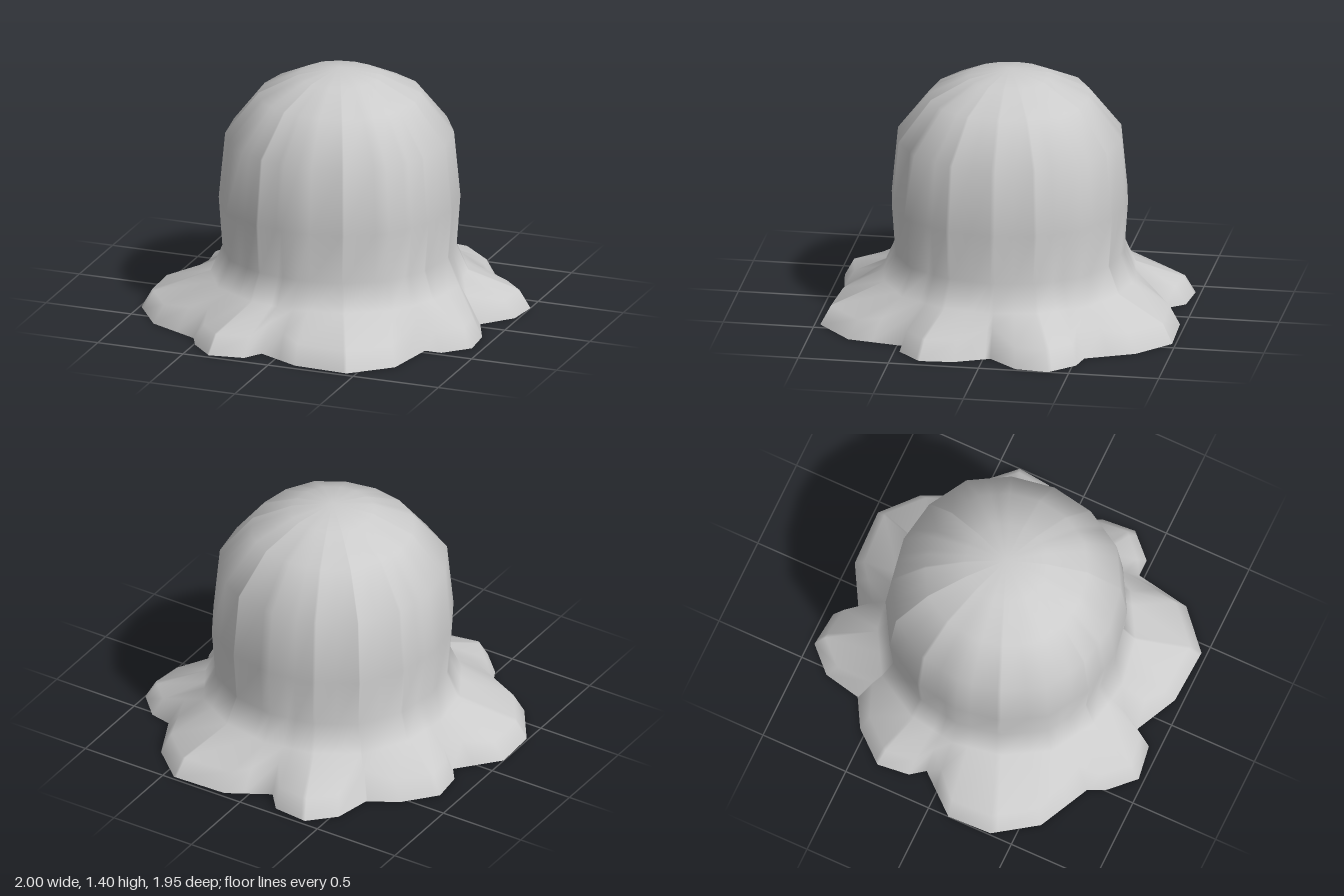
import * as THREE from 'three';

const CX = 0.025, CZ = -0.01;
const TAU = Math.PI * 2;

// Hem outline as [x, z, notch]; notch = 1 where two lobes meet
const HEM = [
  [0.84, -0.04, 1], [0.925, 0.15], [0.94, 0.34], [0.81, 0.47], [0.715, 0.47, 1],
  [0.66, 0.78], [0.45, 0.97], [0.14, 0.955], [-0.10, 0.84, 1], [-0.165, 0.94],
  [-0.36, 0.97], [-0.49, 0.84], [-0.54, 0.74, 1], [-0.83, 0.60], [-0.99, 0.37],
  [-1, 0.12], [-0.81, -0.10, 1], [-0.87, -0.18], [-0.89, -0.36], [-0.74, -0.535],
  [-0.58, -0.625, 1], [-0.535, -0.835], [-0.40, -0.97], [-0.20, -0.95], [-0.11, -0.84, 1],
  [0.12, -0.97], [0.44, -0.98], [0.63, -0.81], [0.75, -0.545, 1], [0.87, -0.52],
  [1.0, -0.385], [0.98, -0.20],
];

// Body profile as [radius, height], foot to crown
const BODY = [[0.70, 0.22], [0.635, 0.37], [0.655, 0.65], [0.62, 1.02], [0.44, 1.25], [0.225, 1.355]];
const TOP = 1.4;

const byAngle = (list) => list.sort((p, q) => p.a - q.a);
const wrap = (a) => ((a % TAU) + TAU) % TAU;

// Point of a closed polar polygon at angle a
function sample(poly, a) {
  let i = poly.findIndex((p) => p.a > a + 1e-9);
  if (i < 0) i = 0;
  const p = poly[(i + poly.length - 1) % poly.length], q = poly[i];
  const span = wrap(q.a - p.a), d = wrap(a - p.a + 1e-12);
  const r = (p.r * q.r * Math.sin(span)) / (p.r * Math.sin(d) + q.r * Math.sin(span - d));
  return { r, y: p.y + (q.y - p.y) * (d / span) };
}

function geometry(points, index) {
  const g = new THREE.BufferGeometry();
  g.setAttribute('position', new THREE.Float32BufferAttribute(points.flat(), 3));
  g.setIndex(index);
  g.computeVertexNormals();
  return g;
}

export function createModel() {
  const group = new THREE.Group();
  const material = new THREE.MeshStandardMaterial({ color: 0xcccccc });

  // Hem on the ground, and the inset upper rim of the lobes
  const hem = byAngle(HEM.map(([x, z, notch = 0]) => ({
    a: wrap(Math.atan2(z - CZ, x - CX)), r: Math.hypot(x - CX, z - CZ), y: 0, notch,
  })));
  const rim = hem.map(({ a, r, notch }) => ({
    a, r: notch ? r * 0.9 : r - 0.06, y: notch ? 0.155 : 0.105,
  }));
  // Sixteen-sided, slightly squared body section
  const section = Array.from({ length: 16 }, (_, i) => ({
    a: (i * TAU) / 16, r: [1, 1.01, 1.035, 1.01][i % 4], y: 0,
  }));

  // Columns pass through every corner of both outlines
  const angles = byAngle([...hem, ...section]).map((p) => p.a)
    .filter((a, i, all) => i === 0 || a - all[i - 1] > 0.004);
  const n = angles.length;
  const ring = (f) => angles.map((a) => {
    const { r, y } = f(a);
    return [CX + r * Math.cos(a), y, CZ + r * Math.sin(a)];
  });
  const rings = [
    ring((a) => sample(hem, a)),
    ring((a) => sample(rim, a)),
    ...BODY.map(([r, y]) => ring((a) => ({ r: r * sample(section, a).r, y }))),
  ];

  // Dome flowing into the lobed skirt
  const points = rings.flat();
  const index = [];
  for (let k = 0; k < rings.length - 1; k++) {
    for (let j = 0; j < n; j++) {
      const a = k * n + j, b = k * n + ((j + 1) % n);
      index.push(a, a + n, b, b, a + n, b + n);
    }
  }
  const crown = points.push([CX, TOP, CZ]) - 1;
  for (let j = 0; j < n; j++) index.push(crown - n + j, crown, crown - n + ((j + 1) % n));
  const body = new THREE.Mesh(geometry(points, index), material);
  body.name = 'domeAndSkirt';
  group.add(body);

  // Flat underside
  const under = [];
  for (let j = 0; j < n; j++) under.push(n, j, (j + 1) % n);
  const base = new THREE.Mesh(geometry([...rings[0], [CX, 0, CZ]], under), material);
  base.name = 'underside';
  group.add(base);

  return group;
}
